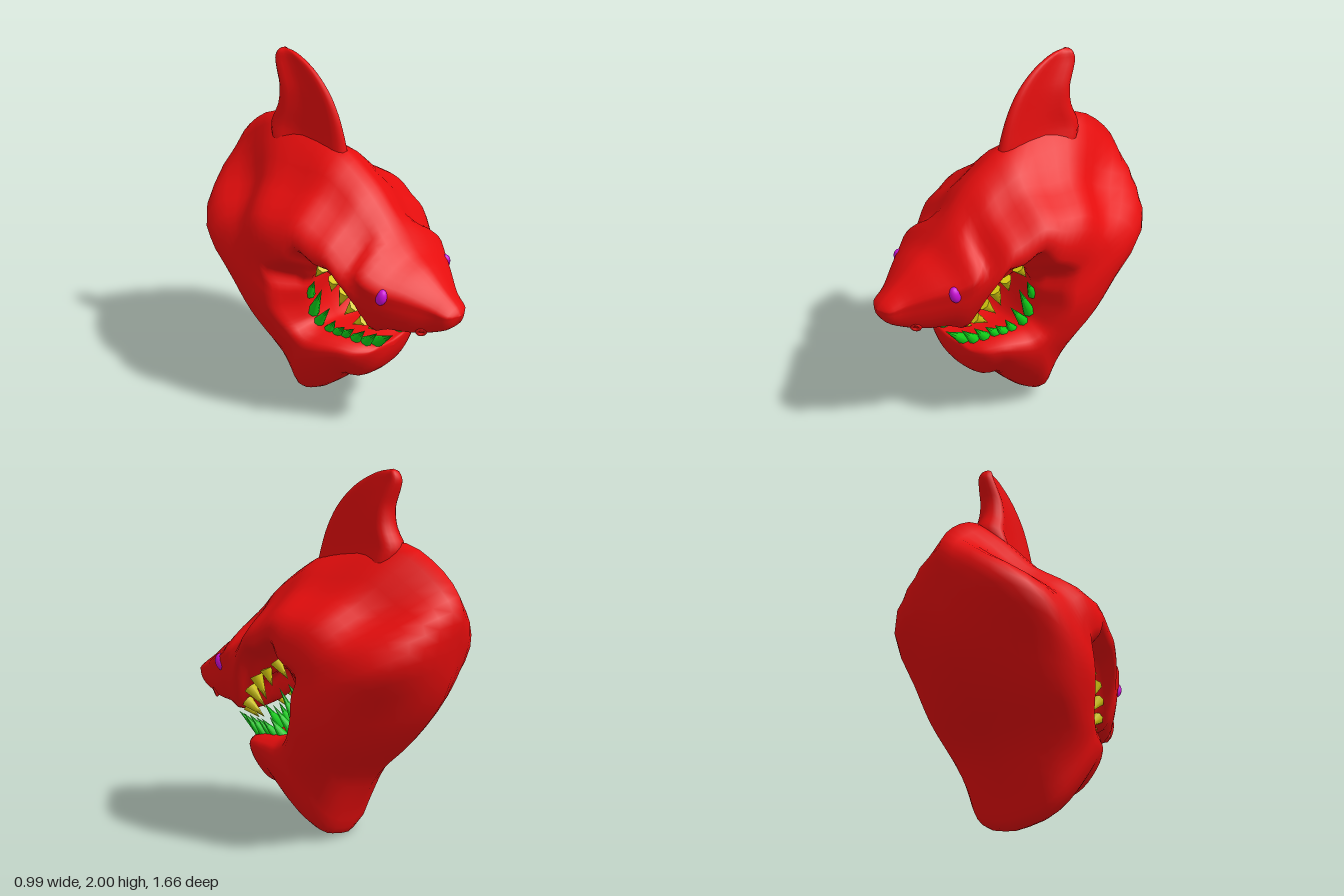
import * as THREE from 'three';

const mat = (color) => new THREE.MeshStandardMaterial({ color });
const RED = mat(0xe60d0d), GREEN = mat(0x10cc18), YELLOW = mat(0xd8cc10), PURPLE = mat(0xcc10d8);

// Half cross-sections: [position from inner edge to outer edge, share of the half width]
const PROFILES = {
  snout: [[0, 0], [0.01, 0.35], [0.06, 0.62], [0.2, 0.78], [0.4, 0.89], [0.58, 0.93], [0.72, 0.95], [0.85, 0.68], [0.95, 0.34], [1, 0]],
  brow: [[0.08, 0], [0, 0.55], [0.2, 0.64], [0.34, 0.86], [0.43, 0.99], [0.55, 0.95], [0.66, 0.74], [0.77, 0.5], [0.91, 0.28], [1, 0]],
  crest: [[0.08, 0], [0, 0.55], [0.14, 0.65], [0.25, 0.87], [0.34, 1], [0.5, 0.95], [0.63, 0.71], [0.75, 0.47], [0.91, 0.26], [1, 0]],
  temple: [[0.08, 0], [0, 0.5], [0.06, 0.66], [0.13, 0.87], [0.21, 1], [0.41, 0.97], [0.54, 0.76], [0.66, 0.49], [0.85, 0.25], [1, 0]],
  shoulder: [[0.06, 0], [0, 0.5], [0.03, 0.67], [0.08, 0.86], [0.15, 0.99], [0.42, 0.99], [0.62, 0.88], [0.8, 0.64], [0.93, 0.34], [1, 0]],
  back: [[0.06, 0], [0, 0.5], [0.03, 0.67], [0.08, 0.86], [0.15, 0.99], [0.45, 1], [0.7, 0.95], [0.88, 0.74], [0.97, 0.38], [1, 0]],
  throat: [[0.06, 0], [0, 0.5], [0, 0.72], [0.06, 0.92], [0.15, 1], [0.36, 0.96], [0.6, 0.83], [0.82, 0.64], [0.95, 0.38], [1, 0]],
  fin: [[0, 0], [0.02, 0.4], [0.07, 0.8], [0.16, 1], [0.28, 0.8], [0.45, 0.52], [0.7, 0.42], [0.87, 0.38], [0.97, 0.24], [1, 0]],
};

// Sections run round the mouth: inner z, inner y, outer z, outer y, half width
const HEAD = [
  ['snout', 0.83, 0.85, 0.83, 0.85, 0],
  ['snout', 0.80, 0.78, 0.80, 0.89, 0.08],
  ['snout', 0.72, 0.73, 0.71, 0.955, 0.125],
  ['snout', 0.62, 0.70, 0.60, 1.04, 0.21],
  ['snout', 0.50, 0.69, 0.50, 1.10, 0.295],
  ['snout', 0.41, 0.66, 0.42, 1.19, 0.34],
  ['brow', 0.33, 0.74, 0.33, 1.30, 0.37],
  ['brow', 0.27, 0.84, 0.24, 1.39, 0.40],
  ['crest', 0.19, 0.90, 0.13, 1.47, 0.42],
  ['crest', 0.10, 0.94, 0.00, 1.54, 0.44],
  ['temple', 0.05, 0.93, -0.22, 1.60, 0.47],
  ['temple', 0.02, 0.88, -0.50, 1.62, 0.485],
  ['temple', 0.00, 0.84, -0.72, 1.48, 0.485],
  ['shoulder', 0.00, 0.80, -0.83, 1.30, 0.485],
  ['back', 0.00, 0.76, -0.80, 1.08, 0.49],
  ['shoulder', 0.00, 0.72, -0.73, 0.82, 0.485],
  ['shoulder', 0.01, 0.67, -0.55, 0.57, 0.46],
  ['shoulder', 0.03, 0.62, -0.35, 0.37, 0.425],
  ['throat', 0.06, 0.585, -0.23, 0.16, 0.40],
  ['throat', 0.10, 0.575, -0.16, 0.01, 0.385],
  ['throat', 0.15, 0.57, -0.05, 0.04, 0.365],
  ['throat', 0.20, 0.565, 0.06, 0.13, 0.34],
  ['throat', 0.26, 0.555, 0.16, 0.24, 0.31],
  ['throat', 0.32, 0.54, 0.25, 0.255, 0.27],
  ['throat', 0.36, 0.525, 0.33, 0.32, 0.21],
  ['throat', 0.385, 0.515, 0.375, 0.41, 0.14],
  ['throat', 0.39, 0.48, 0.39, 0.48, 0],
];

// Fin levels: y, back z, front z, half width
const FIN = [
  [1.42, -0.44, 0.06, 0.12], [1.52, -0.47, 0.03, 0.115], [1.60, -0.485, 0.01, 0.098], [1.70, -0.44, -0.025, 0.08],
  [1.80, -0.43, -0.08, 0.068], [1.88, -0.455, -0.15, 0.056], [1.94, -0.47, -0.23, 0.045],
  [1.985, -0.45, -0.33, 0.033], [2.0, -0.42, -0.42, 0],
].map(([y, back, front, w]) => ['fin', back, y, front, y, w]);

// Teeth: root x, root z, root y, tip z, tip y, radius
const UPPER_TEETH = [
  [0.16, 0.39, 0.68, 0.33, 0.63, 0.03], [0.21, 0.35, 0.72, 0.26, 0.65, 0.036], [0.24, 0.31, 0.80, 0.23, 0.71, 0.038],
  [0.26, 0.26, 0.87, 0.21, 0.76, 0.038], [0.27, 0.195, 0.92, 0.165, 0.84, 0.036], [0.28, 0.115, 0.97, 0.055, 0.89, 0.034],
];
const LOWER_TEETH = [
  [0.10, 0.35, 0.53, 0.49, 0.645, 0.042], [0.15, 0.32, 0.54, 0.42, 0.65, 0.038], [0.18, 0.27, 0.55, 0.36, 0.655, 0.038],
  [0.20, 0.21, 0.56, 0.30, 0.65, 0.035], [0.22, 0.17, 0.565, 0.25, 0.65, 0.035], [0.23, 0.12, 0.57, 0.19, 0.67, 0.035],
  [0.24, 0.06, 0.61, 0.16, 0.74, 0.034], [0.25, 0.03, 0.68, 0.11, 0.84, 0.034], [0.25, 0.0, 0.77, 0.055, 0.87, 0.03],
];

// Skins mirrored sections with a smooth closed surface
function loft(stations, half = 18, steps = 3) {
  const rings = stations.map(([name, iz, iy, oz, oy, w]) => {
    const curve = new THREE.SplineCurve(PROFILES[name].map(([u, s]) => new THREE.Vector2(u, s)));
    const side = curve.getPoints(half).map(({ x: u, y: s }, j) =>
      new THREE.Vector3(j % half ? w * s : 0, iy + (oy - iy) * u, iz + (oz - iz) * u));
    const mirrored = side.slice(1, half).reverse().map((p) => new THREE.Vector3(-p.x, p.y, p.z));
    return [...side, ...mirrored];
  });
  const n = half * 2, rows = (rings.length - 1) * steps;
  const rails = rings[0].map((_, j) => new THREE.CatmullRomCurve3(rings.map((r) => r[j]), false, 'catmullrom', 0.5));
  const pos = [], index = [];
  for (let i = 0; i <= rows; i++) {
    for (let j = 0; j < n; j++) pos.push(...rails[j].getPoint(i / rows).toArray());
    if (i === rows) break;
    for (let j = 0; j < n; j++) {
      const a = i * n + j, b = i * n + (j + 1) % n, c = b + n, d = a + n;
      index.push(a, d, c, a, c, b);
    }
  }
  const g = new THREE.BufferGeometry();
  g.setAttribute('position', new THREE.Float32BufferAttribute(pos, 3));
  g.setIndex(index);
  g.computeVertexNormals();
  return g;
}

function add(parent, name, geometry, material) {
  const mesh = new THREE.Mesh(geometry, material);
  mesh.name = name;
  parent.add(mesh);
  return mesh;
}

// A row of pointed teeth on both sides, rooted slightly in the gum
function addTeeth(parent, name, list, lean, material) {
  const row = new THREE.Group();
  row.name = name;
  for (const s of [-1, 1]) {
    for (const [x, z, y, tz, ty, r] of list) {
      const root = new THREE.Vector3(s * x, y, z), tip = new THREE.Vector3(s * (x + lean), ty, tz);
      const dir = tip.clone().sub(root);
      root.addScaledVector(dir, -0.2);
      const length = tip.distanceTo(root);
      const tooth = add(row, 'tooth', new THREE.ConeGeometry(r, length, 7).translate(0, length / 2, 0), material);
      tooth.position.copy(root);
      tooth.quaternion.setFromUnitVectors(new THREE.Vector3(0, 1, 0), dir.normalize());
    }
  }
  parent.add(row);
}

export function createModel() {
  const model = new THREE.Group();
  model.name = 'sharkHead';
  add(model, 'head', loft(HEAD), RED);
  add(model, 'dorsalFin', loft(FIN, 14), RED);
  addTeeth(model, 'upperTeeth', UPPER_TEETH, -0.01, YELLOW);
  addTeeth(model, 'lowerTeeth', LOWER_TEETH, 0.025, GREEN);

  for (const s of [-1, 1]) {
    const side = s > 0 ? 'left' : 'right';
    // Slanted eye, set under the brow
    const eye = add(model, side + 'Eye', new THREE.SphereGeometry(1, 16, 12), PURPLE);
    eye.scale.set(0.03, 0.048, 0.034);
    eye.position.set(s * 0.256, 0.945, 0.512);
    eye.rotation.set(0.3, s * 0.4, 0);
    // Nostril rim
    const nostril = add(model, side + 'Nostril', new THREE.TorusGeometry(0.022, 0.01, 8, 16), RED);
    nostril.position.set(s * 0.11, 0.737, 0.665);
    nostril.rotation.set(0.35, s * 0.8, 0, 'YXZ');
  }
  return model;
}
